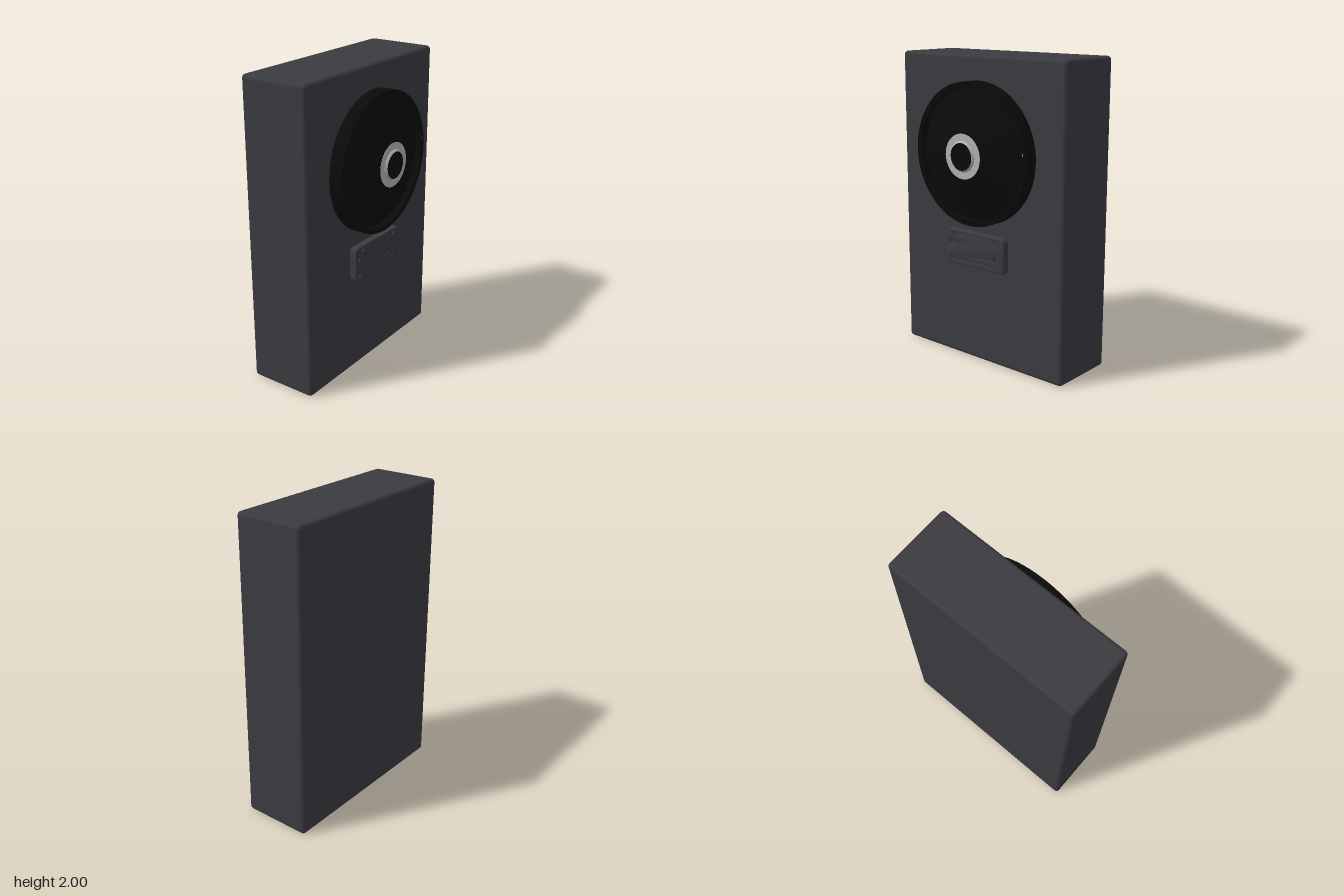
import * as THREE from 'three';
import { toCreasedNormals } from 'three/addons/utils/BufferGeometryUtils.js';
import { RoundedBoxGeometry } from 'three/addons/geometries/RoundedBoxGeometry.js';

const material = (name, color) => {
  const m = new THREE.MeshStandardMaterial({ color });
  m.name = name;
  return m;
};

// Profile of [radius, depth] pairs turned around the z axis
function turned(profile) {
  const points = profile.map(([r, z]) => new THREE.Vector2(r, z));
  const geo = new THREE.LatheGeometry(points, 72);
  geo.rotateX(Math.PI / 2);
  return toCreasedNormals(geo, 0.3);
}

function roundedRect(w, h, r) {
  const s = new THREE.Shape();
  const x = w / 2, y = h / 2;
  s.absarc(x - r, y - r, r, 0, Math.PI / 2);
  s.absarc(-x + r, y - r, r, Math.PI / 2, Math.PI);
  s.absarc(-x + r, -y + r, r, Math.PI, Math.PI * 1.5);
  s.absarc(x - r, -y + r, r, Math.PI * 1.5, Math.PI * 2);
  s.closePath();
  return s;
}

export function createModel() {
  const charcoal = material('charcoal', 0x3a3a40);
  const black = material('black', 0x0a0a0a);
  const silver = material('silver', 0xb0b0b0);

  const model = new THREE.Group();
  const add = (parent, name, geo, mat, x = 0, y = 0, z = 0) => {
    const mesh = new THREE.Mesh(geo, mat);
    mesh.name = name;
    mesh.position.set(x, y, z);
    parent.add(mesh);
    return mesh;
  };

  // Cabinet
  add(model, 'cabinet', new RoundedBoxGeometry(1.334, 2, 0.465, 4, 0.025), charcoal, 0, 1, -0.0835);

  // Round driver: raised rim around a cone that rises to the middle
  const driver = new THREE.Group();
  driver.name = 'driver';
  driver.position.set(0, 1.39, 0);
  model.add(driver);
  add(driver, 'rim', turned([[0.454, 0.145], [0.454, 0.24], [0.42, 0.24], [0.42, 0.19]]), black);
  add(driver, 'cone', turned([[0.425, 0.193], [0.142, 0.299], [0, 0.299]]), black);
  add(driver, 'ring', turned([[0.142, 0.297], [0.142, 0.301], [0.09, 0.301]]), silver);
  add(driver, 'capSide', turned([[0.099, 0.3], [0.094, 0.308], [0.086, 0.315]]), silver);
  add(driver, 'capFace', turned([[0.086, 0.315], [0, 0.315]]), black);
  add(driver, 'rimMark', new THREE.BoxGeometry(0.004, 0.016, 0.004), silver, 0.425, 0.05, 0.239);

  // Control panel with small recesses: [x, y, half width, half height]
  const panel = new THREE.Group();
  panel.name = 'controlPanel';
  panel.position.set(-0.003, 0.762, 0);
  model.add(panel);
  const recesses = [
    [-0.167, 0.088, 0.016, 0.016], [0.178, 0.088, 0.016, 0.016],
    [-0.202, 0.028, 0.016, 0.016], [-0.197, -0.082, 0.016, 0.016],
    [-0.1, 0.094, 0.012, 0.007], [-0.03, 0.098, 0.009, 0.005],
    [0.04, 0.098, 0.009, 0.005], [0.109, 0.098, 0.009, 0.005],
    [-0.122, 0.028, 0.005, 0.009], [0.114, -0.037, 0.015, 0.01],
    [0.153, -0.075, 0.015, 0.008], [0.178, -0.037, 0.01, 0.012],
  ];
  const face = roundedRect(0.478, 0.22, 0.022);
  for (const [x, y, rx, ry] of recesses) {
    const hole = new THREE.Path();
    hole.absellipse(x, y, rx, ry, 0, Math.PI * 2, true);
    face.holes.push(hole);
  }
  const plate = new THREE.ExtrudeGeometry(face, {
    depth: 0.01, bevelThickness: 0.006, bevelSize: 0.005, bevelSegments: 2, curveSegments: 10,
  });
  add(panel, 'facePlate', toCreasedNormals(plate, 0.5), charcoal, 0, 0, 0.179);
  const base = new THREE.ExtrudeGeometry(roundedRect(0.488, 0.23, 0.027), {
    depth: 0.037, bevelEnabled: false, curveSegments: 10,
  });
  add(panel, 'panelBase', toCreasedNormals(base, 0.5), charcoal, 0, 0, 0.145);

  return model;
}
